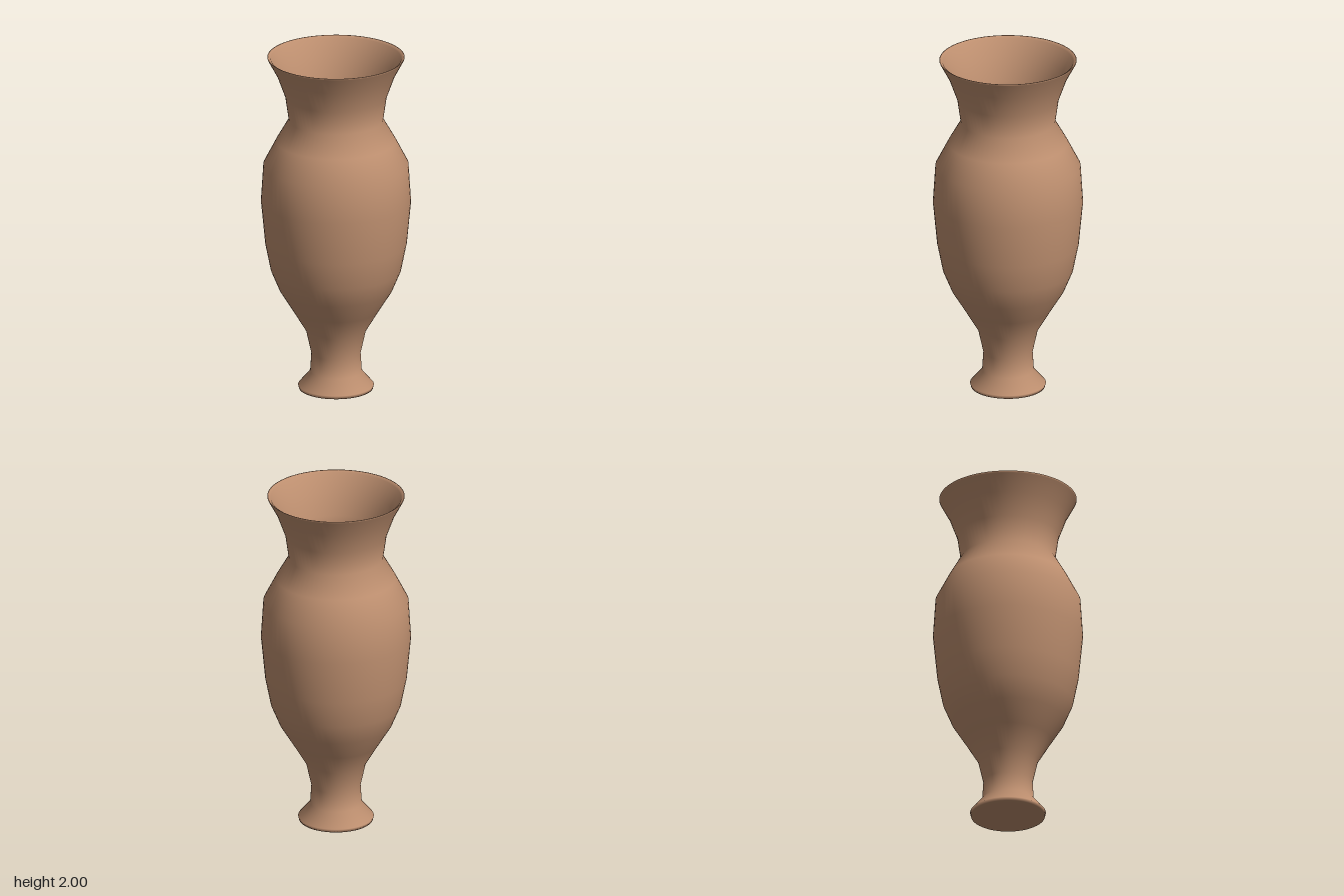
import * as THREE from 'three';

export function createModel() {
  const model = new THREE.Group();
  const clay = new THREE.MeshStandardMaterial({ color: 0xbf9070 });
  clay.name = 'clay';

  // Outer wall, radius and height, from foot to rim
  const outer = [
    [0.21, 0.02], [0.215, 0.04], [0.147, 0.12], [0.14, 0.23], [0.17, 0.365],
    [0.245, 0.49], [0.32, 0.61], [0.37, 0.73], [0.402, 0.89], [0.426, 1.14],
    [0.412, 1.36], [0.34, 1.5], [0.268, 1.625], [0.288, 1.765], [0.335, 1.895],
    [0.386, 1.99],
  ];
  const wall = 0.016;
  // Inner wall follows the outer one back down to the floor
  const inner = outer.slice(1).reverse().map(([r, y]) => [r - wall, y]);

  const profile = [
    [0, 0], ...outer,
    [0.39, 2], [0.385, 2], // rim
    ...inner, [0, 0.025],
  ].map(([r, y]) => new THREE.Vector2(r, y));

  const vase = new THREE.Mesh(new THREE.LatheGeometry(profile, 64), clay);
  vase.name = 'vase';
  model.add(vase);
  return model;
}
